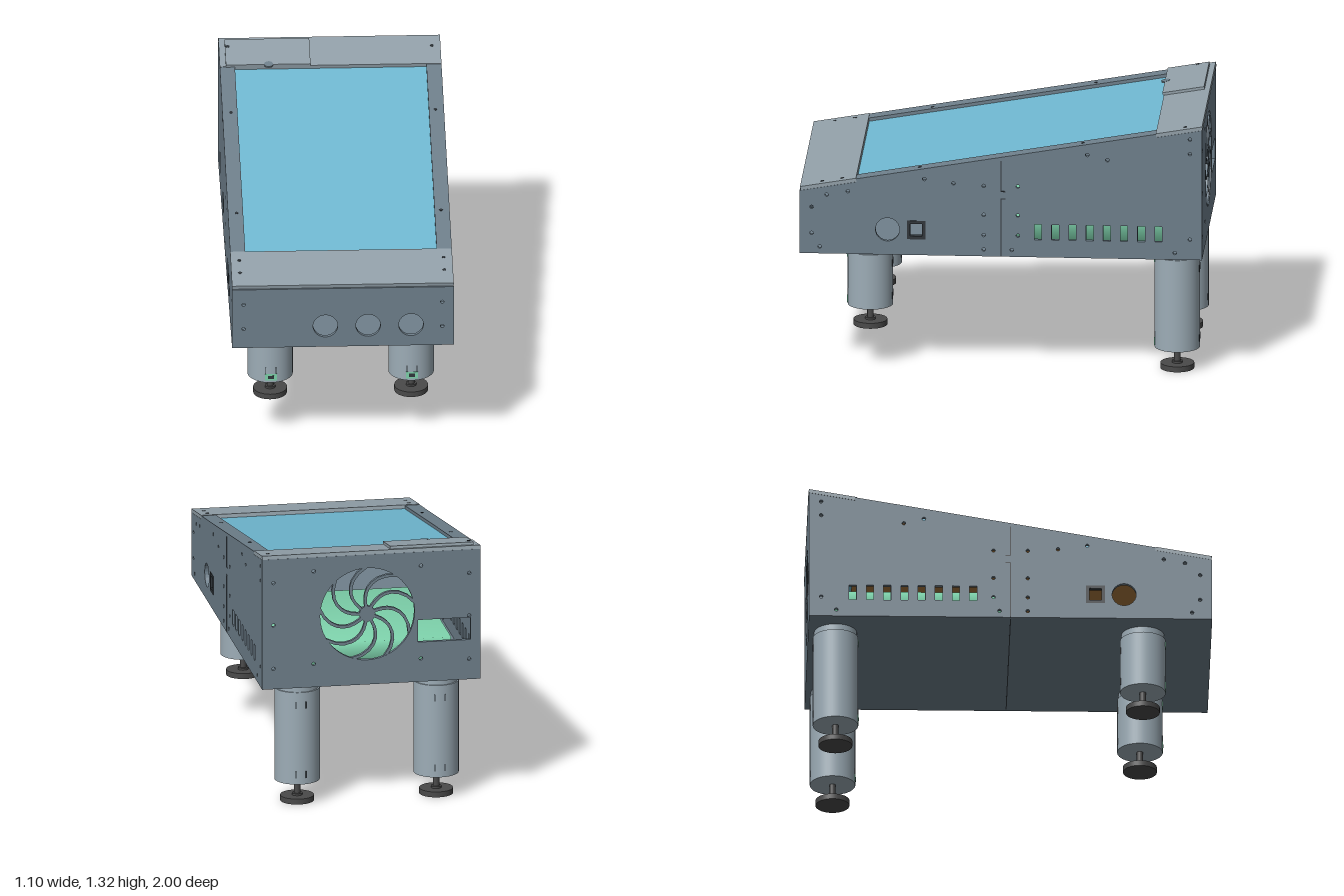
import * as THREE from 'three';
import { mergeVertices } from 'three/addons/utils/BufferGeometryUtils.js';

const mat = (name, color) => {
  const m = new THREE.MeshStandardMaterial({ color });
  m.name = name;
  return m;
};

export function createModel() {
  const root = new THREE.Group();
  const body = mat('slate body', 0x6f808c);
  const plate = mat('light slate plate', 0x93a1aa);
  const legMat = mat('leg grey', 0x9dadb7);
  const screenMat = mat('screen blue', 0x70b9d2);
  const green = mat('mint green', 0x7fd4ad);
  const brown = mat('board brown', 0xa9783c);
  const dark = mat('rubber dark', 0x4a4a4a);
  const black = mat('fitting black', 0x30363b);

  const add = (parent, name, geo, m, x = 0, y = 0, z = 0) => {
    const mesh = new THREE.Mesh(geo, m);
    mesh.name = name;
    mesh.position.set(x, y, z);
    parent.add(mesh);
    return mesh;
  };
  const box = (parent, name, m, w, h, d, x, y, z) =>
    add(parent, name, new THREE.BoxGeometry(w, h, d), m, x, y, z);
  const poly = pts => new THREE.Shape(pts.map(p => new THREE.Vector2(...p)));
  const rect = (x0, y0, x1, y1) => poly([[x0, y0], [x1, y0], [x1, y1], [x0, y1]]);
  const disc = (x, y, r) => new THREE.Path().absarc(x, y, r, 0, Math.PI * 2, true);
  const extrude = (shape, depth, seg = 12) =>
    new THREE.ExtrudeGeometry(shape, { depth, bevelEnabled: false, curveSegments: seg });

  // Main proportions
  const W = 0.55, T = 0.02, base = 0.62, slope = 0.174;
  const roof = z => 1.118 - slope * z;

  // Side walls with round, square, vent and screw holes
  const screws = [
    [0.94, 0.86], [0.865, 0.925], [0.76, 0.945], [0.94, 0.725], [0.9, 0.655],
    [0.38, 1.015], [0.235, 0.995], [0.085, 0.985], [0.085, 0.835], [0.085, 0.73],
    [0.085, 0.655], [-0.085, 0.985], [-0.085, 0.835], [-0.085, 0.73], [-0.055, 0.655],
    [-0.43, 1.155], [-0.53, 1.13], [-0.94, 1.245], [-0.94, 1.17], [-0.94, 0.725], [-0.865, 0.655],
  ];
  const side = poly([[-1, base], [1, base], [1, roof(1)], [-1, roof(-1)]]);
  side.holes.push(disc(0.563, 0.75, 0.06), rect(0.375, 0.702, 0.467, 0.798));
  for (const [z, y] of screws) side.holes.push(disc(z, y, 0.009));
  for (let i = 0; i < 8; i++) {
    const z = -0.185 - i * 0.0855;
    side.holes.push(rect(z - 0.018, 0.71, z + 0.018, 0.79));
  }
  const sideGeo = extrude(side, T).rotateY(-Math.PI / 2);
  const frame = rect(0.375, 0.702, 0.467, 0.798);
  frame.holes.push(rect(0.391, 0.718, 0.451, 0.782));
  const frameGeo = extrude(frame, 0.028).rotateY(-Math.PI / 2);
  for (const s of [-1, 1]) {
    add(root, 'sideWall', sideGeo, body, s > 0 ? W : -W + T);
    add(root, 'switchFrame', frameGeo, black, s > 0 ? W + 0.002 : -W + 0.026);
    box(root, 'sideSeam', black, 0.002, 0.3, 0.005, s * W, 0.77, 0);
    box(root, 'sideSeam', black, 0.002, 0.16, 0.005, s * W, 1.037, 0);
    for (const y of [0.92, 0.957])
      box(root, 'seamNotch', black, 0.002, 0.005, 0.025, s * W, y, -0.012);
  }

  // Front wall with three button holes
  const inner = W - T;
  const front = rect(-inner, base, inner, roof(1));
  for (const x of [-0.087, 0.125, 0.338]) front.holes.push(disc(x, 0.735, 0.061));
  for (const x of [-0.493, 0.493])
    for (const y of [0.725, 0.86]) front.holes.push(disc(x, y, 0.009));
  add(root, 'frontWall', extrude(front, T, 24), body, 0, 0, 1 - T);

  // Back wall with fan opening and connector slot
  const fx = 0.02, fy = 0.985, fr = 0.238;
  const back = rect(-inner, base, inner, roof(-1));
  back.holes.push(disc(fx, fy, fr), rect(-0.5, 0.825, -0.235, 0.94));
  for (const x of [-0.493, 0.493])
    for (const y of [0.725, 0.95, 1.17]) back.holes.push(disc(x, y, 0.009));
  for (const x of [-0.25, 0.29])
    for (const y of [0.74, 1.22]) back.holes.push(disc(x, y, 0.009));
  add(root, 'backWall', extrude(back, T, 24), body, 0, 0, -1);

  // Swirled fan grille
  const grille = new THREE.Group();
  grille.name = 'fanGrille';
  grille.position.set(fx, fy, -1);
  root.add(grille);
  const left = [], right = [];
  for (let i = 0; i <= 8; i++) {
    const t = i / 8, r = 0.025 + t * (fr - 0.02), a = 0.85 * t * t, h = 0.0075;
    const px = Math.cos(a) * r, py = Math.sin(a) * r;
    const dir = a + Math.atan(1.7 * t * r / fr);
    left.push([px + Math.sin(dir) * h, py - Math.cos(dir) * h]);
    right.unshift([px - Math.sin(dir) * h, py + Math.cos(dir) * h]);
  }
  const spokeGeo = extrude(poly([...left, ...right]), T - 0.002);
  for (let i = 0; i < 9; i++)
    add(grille, 'grilleSpoke', spokeGeo, body, 0, 0, 0.001).rotation.z = i * Math.PI * 2 / 9;
  add(grille, 'grilleHub', new THREE.CylinderGeometry(0.04, 0.04, T, 24).rotateX(Math.PI / 2), body, 0, 0, T / 2);

  // Floor with its joint line
  box(root, 'floor', body, inner * 2, 0.018, 2 - 2 * T, 0, base + 0.009, 0);
  box(root, 'floorSeam', black, inner * 2, 0.002, 0.005, 0, base, 0);

  // Soft-shaded block inside the cabinet
  const block = new THREE.BoxGeometry(0.84, 0.175, 0.88);
  block.deleteAttribute('normal');
  block.deleteAttribute('uv');
  const soft = mergeVertices(block);
  soft.computeVertexNormals();
  add(root, 'innerBlock', soft, green, 0, 0.726, -0.46);

  // Sloping top: plates, rails and the recessed screen
  const top = new THREE.Group();
  top.name = 'slopingTop';
  top.position.y = 1.138;
  top.rotation.x = Math.atan(slope);
  root.add(top);
  const k = Math.sqrt(1 + slope * slope);
  const slab = (name, m, x0, x1, z0, z1, y0, y1) =>
    box(top, name, m, x1 - x0, y1 - y0, (z1 - z0) * k, (x0 + x1) / 2, (y0 + y1) / 2, (z0 + z1) / 2 * k);
  slab('frontPlate', plate, -W, W, 0.72, 0.998, -0.019, 0);
  slab('backPlate', plate, -W, W, -1, -0.77, -0.019, 0);
  for (const s of [-1, 1]) {
    const [a, b] = s > 0 ? [0.475, W] : [-W, -0.475];
    slab('sideRail', body, a, b, -0.77, 0.72, -0.024, -0.003);
    for (const [z, y] of [[-0.915, 0], [-0.405, -0.003], [0.405, -0.003], [0.79, 0], [0.89, 0]])
      add(top, 'topScrew', new THREE.CylinderGeometry(0.009, 0.009, 0.003, 12), black, s * 0.507, y, z * k);
  }
  slab('screen', screenMat, -0.49, 0.49, -0.785, 0.735, -0.055, -0.02);
  slab('screenBack', brown, -0.47, 0.47, -0.76, 0.71, -0.065, -0.055);

  // Raised cover on the back plate, with a small finger tab
  slab('cover', plate, -0.52, -0.1, -0.972, -0.765, 0, 0.014);
  add(top, 'coverTab', new THREE.CylinderGeometry(0.022, 0.022, 0.008, 20), body, -0.308, 0.011, -0.768 * k);
  add(top, 'coverScrew', new THREE.CylinderGeometry(0.01, 0.01, 0.003, 12), black, -0.507, 0.014, -0.915 * k);

  // Legs: collar, tube, captive nuts, slits, stem and foot
  const R = 0.113;
  const makeLeg = (name, x, z, low, foot) => {
    const leg = new THREE.Group();
    leg.name = name;
    leg.position.set(x, 0, z);
    root.add(leg);
    const cyl = (part, m, r, y0, y1) =>
      add(leg, part, new THREE.CylinderGeometry(r, r, y1 - y0, 40), m, 0, (y0 + y1) / 2, 0);
    cyl('legCollar', legMat, 0.106, 0.586, base);
    cyl('legTube', legMat, R, low, 0.588);
    cyl('footStem', dark, 0.016, foot + 0.02, low);
    cyl('footNut', dark, 0.026, foot + 0.027, foot + 0.038);
    cyl('foot', dark, 0.084, foot, foot + 0.028);
    for (const [y, w, h] of [[low + 0.03, 0.06, 0.036], [0.563, 0.046, 0.024]]) {
      box(leg, 'captiveNut', green, w, h, 0.014, 0, y, R - 0.006);
      box(leg, 'nutOpening', black, w * 0.5, h * 0.5, 0.003, 0, y, R + 0.001);
      for (const s of [-1, 1])
        box(leg, 'backSlit', black, 0.005, 0.035, 0.006, s * 0.026, y - (y > 0.5 ? 0.04 : -0.02), -R + 0.003);
    }
    for (const s of [-1, 1])
      box(leg, 'frontSlit', black, 0.004, 0.035, 0.006, s * 0.025, low + 0.065, R - 0.003);
  };
  for (const s of [-1, 1]) {
    makeLeg('frontLeg', s * 0.35, 0.66, 0.305, 0.197);
    makeLeg('backLeg', s * 0.35, -0.865, 0.112, 0);
  }
  return root;
}
